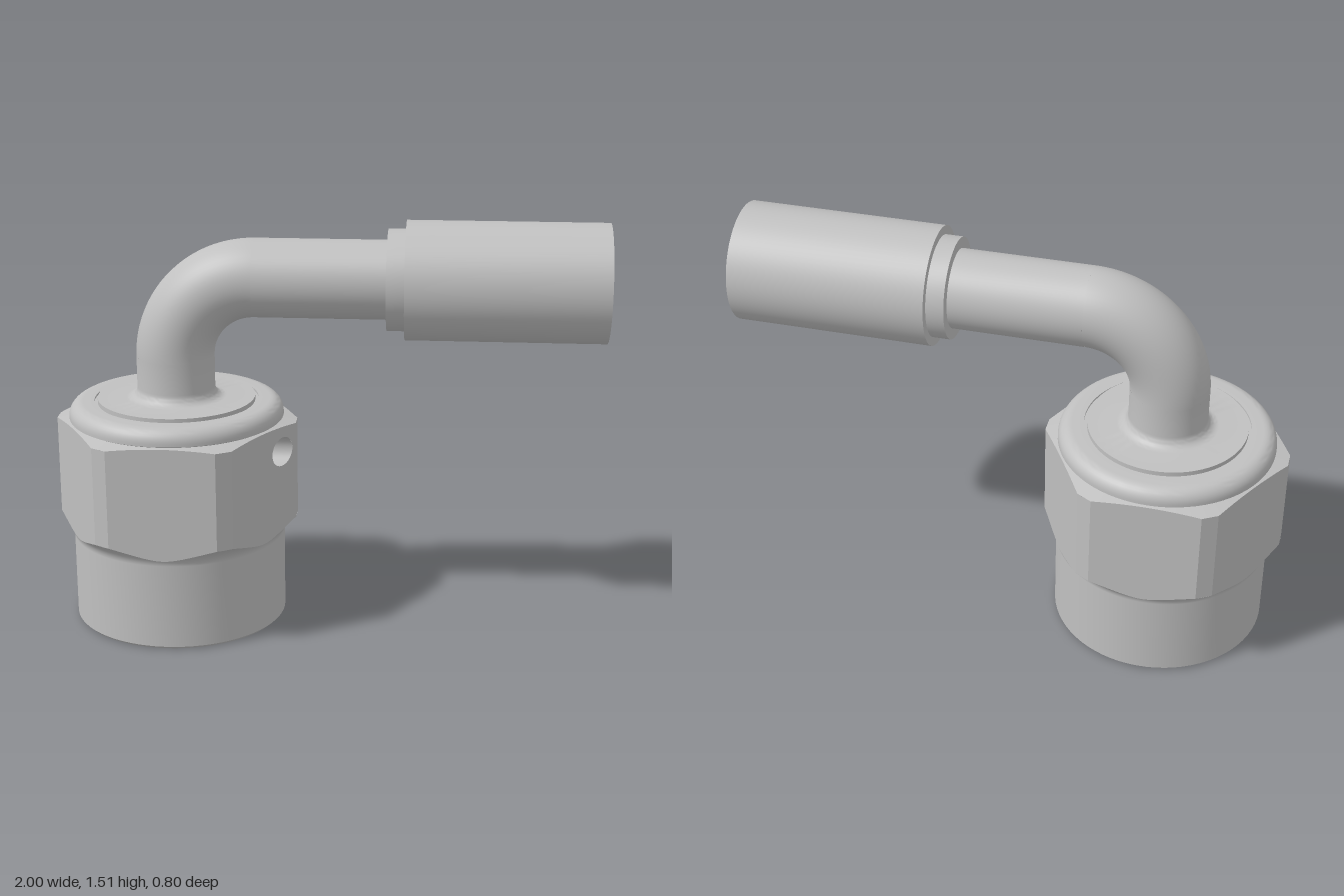
import * as THREE from 'three';
import { toCreasedNormals } from 'three/addons/utils/BufferGeometryUtils.js';
import { ParametricGeometry } from 'three/addons/geometries/ParametricGeometry.js';

const RAD = Math.PI / 180;
const NUT_X = -0.56, TUBE_Y = 1.295, TUBE_R = 0.143, BORE_R = 0.094, BEND_R = 0.295;
const APOTHEM = 0.4, HALF_ANGLE = 26 * RAD;             // hexagon flats, corners cut back
const CORNER_R = APOTHEM / Math.cos(HALF_ANGLE);
const CORNER_D = CORNER_R * Math.cos(4 * RAD);

// Radius of the corner-cut hexagon at an angle measured from a flat's centre
function hexRadius(angle) {
  const a = Math.abs(angle - Math.round(angle / (60 * RAD)) * 60 * RAD);
  return a <= HALF_ANGLE ? APOTHEM / Math.cos(a) : CORNER_D / Math.cos(30 * RAD - a);
}
// Chamfer heights of the hexagon as a function of radius
const hexTop = (r) => 0.772 - (r - 0.385) * 0.25;
const hexBottom = (r) => 0.325 + 0.065 * Math.sqrt(Math.max(0, r - 0.395) / 0.05);

function lathe(points) {
  const g = new THREE.LatheGeometry(points.map(([x, y]) => new THREE.Vector2(x, y)), 72);
  return toCreasedNormals(g, 0.6);
}

function arc(cx, cy, rx, ry, from, to, n = 8) {
  return Array.from({ length: n + 1 }, (_, i) => {
    const a = (from + (to - from) * i / n) * RAD;
    return [cx + rx * Math.cos(a), cy + ry * Math.sin(a)];
  });
}

export function createModel() {
  const steel = new THREE.MeshStandardMaterial({ color: 0xc0c0c0, side: THREE.DoubleSide });
  steel.name = 'steel';
  const model = new THREE.Group();
  model.name = 'elbowFitting';
  const nut = new THREE.Group();
  nut.name = 'nut';
  nut.position.x = NUT_X;
  model.add(nut);

  const add = (parent, name, geometry) => {
    const m = new THREE.Mesh(geometry, steel);
    m.name = name;
    parent.add(m);
    return m;
  };

  // Threaded skirt with its hollow inside and floor
  add(nut, 'skirt', lathe([
    [BORE_R, 1.0], [BORE_R, 0.55], [0.3, 0.55], [0.3, 0.06], [0.36, 0],
    [0.385, 0], [0.395, 0.01], [0.395, 0.345],
  ]));

  // Rounded cap, raised disc and fillet into the upright tube
  add(nut, 'cap', lathe([
    [0.385, 0.76], [0.385, 0.77], [0.395, 0.775],
    ...arc(0.345, 0.785, 0.05, 0.05, 0, 90),
    [0.302, 0.835], [0.302, 0.828], [0.29, 0.828], [0.29, 0.845],
    ...arc(0.183, 0.885, 0.04, 0.04, 270, 180),
    [TUBE_R, 1.0],
  ]));

  // Chamfered top and scalloped underside of the hexagon
  const hexSurface = (up) => new ParametricGeometry((u, v, p) => {
    const a = u * 2 * Math.PI, t = up ? v : 1 - v;
    const inner = up ? 0.38 : 0.395;
    const r = inner + (hexRadius(a) - inner) * t * t;
    p.set(r * Math.sin(-a), up ? hexTop(r) : hexBottom(r), r * Math.cos(a));
  }, 180, 6);
  add(nut, 'hexTop', hexSurface(true));
  add(nut, 'hexUnderside', hexSurface(false));

  // Six flats, one of them drilled, and six narrow corner strips
  const halfWidth = APOTHEM * Math.tan(HALF_ANGLE);
  const stripLow = hexBottom(CORNER_R), stripHigh = hexTop(CORNER_R);
  for (let k = 0; k < 6; k++) {
    const shape = new THREE.Shape();
    const steps = Array.from({ length: 27 }, (_, i) => (-26 + 2 * i) * RAD);
    const low = steps.map((a) => new THREE.Vector2(APOTHEM * Math.tan(a), hexBottom(hexRadius(a))));
    const high = steps.map((a) => new THREE.Vector2(APOTHEM * Math.tan(a), hexTop(hexRadius(a))));
    shape.setFromPoints([...low, ...high.reverse()]);
    if (k === 1) {
      const hole = new THREE.Path();
      hole.absellipse(0.11, 0.67, 0.054 / Math.cos(30 * RAD), 0.054, 0, 2 * Math.PI, true);
      shape.holes.push(hole);
    }
    const flat = new THREE.ShapeGeometry(shape, 20);
    flat.translate(0, 0, APOTHEM).rotateY(k * 60 * RAD);
    add(nut, 'hexFlat', flat);

    const strip = new THREE.PlaneGeometry(2 * CORNER_R * Math.sin(4 * RAD), stripHigh - stripLow);
    strip.translate(0, (stripHigh + stripLow) / 2, CORNER_D).rotateY((k * 60 + 30) * RAD);
    add(nut, 'hexCorner', strip);
  }

  // Drilled hole running along x, starting on the slanted flat
  const holeEnd = 0.25;
  add(nut, 'holeWall', new ParametricGeometry((u, v, p) => {
    const a = u * 2 * Math.PI;
    const z = 0.105 + 0.054 * Math.cos(a), y = 0.67 + 0.054 * Math.sin(a);
    const start = (APOTHEM - 0.5 * z) / Math.cos(30 * RAD);
    p.set(start + (holeEnd - start) * v, y, z);
  }, 40, 1));
  const holeFloor = new THREE.CircleGeometry(0.054, 40);
  holeFloor.rotateY(Math.PI / 2).translate(holeEnd, 0.67, 0.105);
  add(nut, 'holeFloor', holeFloor);

  // Elbow bend, outside and bore
  for (const [name, r] of [['bend', TUBE_R], ['bendBore', BORE_R]]) {
    const g = new THREE.TorusGeometry(BEND_R, r, 48, 36, Math.PI / 2);
    g.rotateZ(Math.PI / 2).translate(NUT_X + BEND_R, TUBE_Y - BEND_R, 0);
    add(model, name, g);
  }

  // Straight tube, collar, crimp sleeve and inner stem, turned along x
  const startX = NUT_X + BEND_R;
  const hose = lathe([
    [TUBE_R, startX], [TUBE_R, 0.215], [0.183, 0.215], [0.183, 0.28],
    [0.215, 0.28], [0.215, 1], [0.197, 1], [0.19, 0.99], [0.19, 0.4],
    [0.132, 0.4], [0.132, 0.985], [0.125, 1], [BORE_R, 1], [BORE_R, startX],
  ]);
  hose.rotateZ(-Math.PI / 2).translate(0, TUBE_Y, 0);
  add(model, 'hoseSleeve', hose);

  return model;
}
